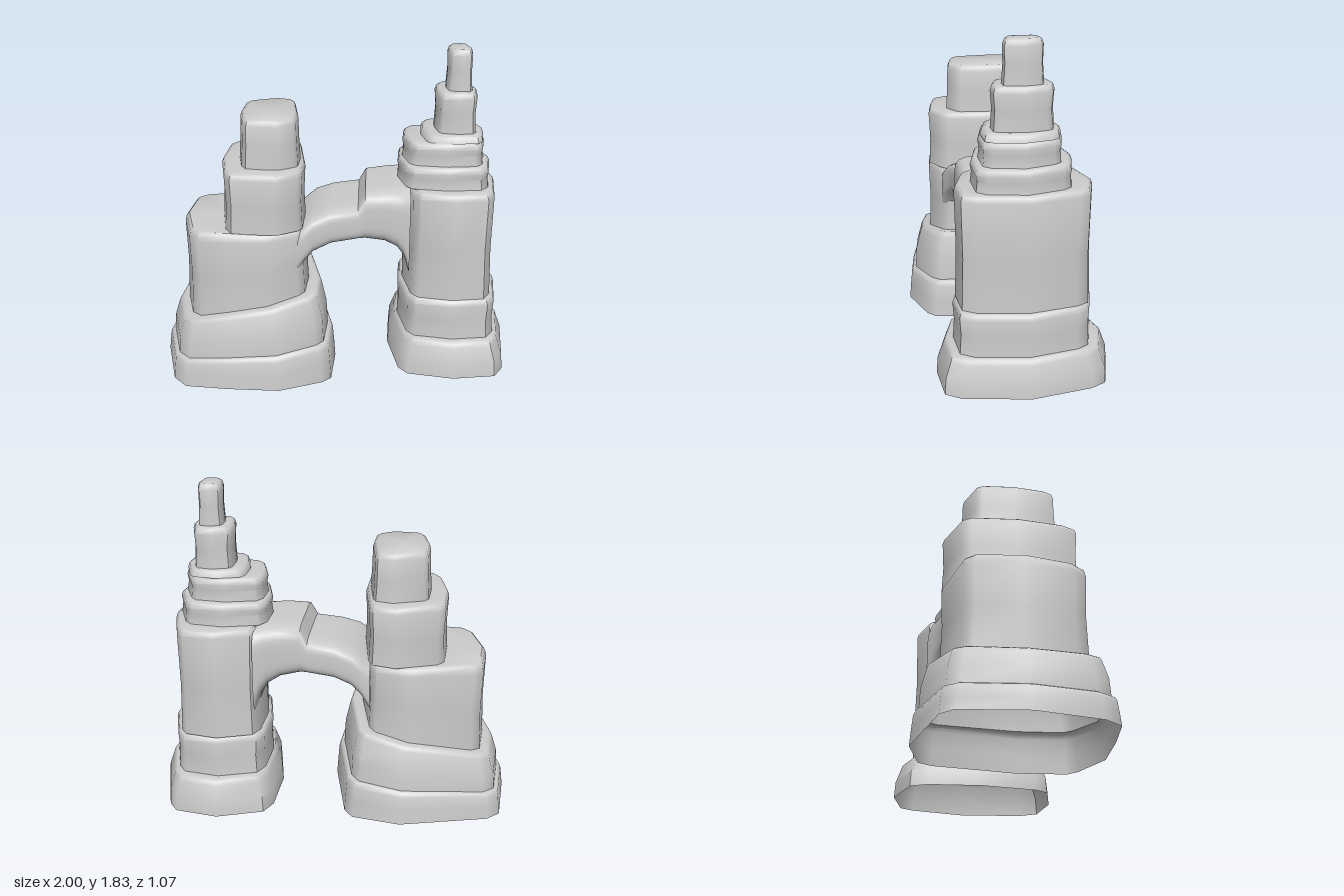
import * as THREE from 'three';
import { toCreasedNormals } from 'three/addons/utils/BufferGeometryUtils.js';

const rock = new THREE.MeshStandardMaterial({ color: 0xcccccc, side: THREE.DoubleSide });
const { lerp } = THREE.MathUtils;

// Skin a list of equal-length point rings; optionally close the last one.
function loft(name, rings, cap) {
  const n = rings[0].length;
  const points = rings.flat(), index = [];
  for (let r = 0; r < rings.length - 1; r++) {
    for (let i = 0; i < n; i++) {
      const a = r * n + i, b = r * n + (i + 1) % n;
      index.push(a, a + n, b, b, a + n, b + n);
    }
  }
  if (cap) {
    const base = points.length - n, centre = points.length;
    points.push(rings.at(-1).reduce((s, p) => s.add(p), new THREE.Vector3()).divideScalar(n));
    for (let i = 0; i < n; i++) index.push(base + i, centre, base + (i + 1) % n);
  }
  const geo = new THREE.BufferGeometry().setFromPoints(points);
  geo.setIndex(index);
  const mesh = new THREE.Mesh(toCreasedNormals(geo, 0.8), rock);
  mesh.name = name;
  return mesh;
}

// Hollow shell of terraces: one outline fitted to each tier's bounds.
// Tier: top height at x = 0, x range, z range, inward taper, slope of the top along x.
function terraces(name, outline, ground, tiers) {
  const rings = [], waist = 0.007, rim = 0.024;
  let y0 = ground, slope0 = 0;
  for (const [top, x0, x1, z0, z1, taper = 0, slope = 0] of tiers) {
    const ring = (k, inset) => rings.push(outline.map(([u, v]) => {
      const x = (x0 + x1) / 2 + u * ((x1 - x0) / 2 - inset);
      const z = (z0 + z1) / 2 + v * ((z1 - z0) / 2 - inset);
      return new THREE.Vector3(x, lerp(y0 + slope0 * x, top + slope * x, k), z);
    }));
    const bevel = rim / (top - y0);
    ring(0, 0);
    ring(0.45, waist);
    ring(1 - bevel * 1.5, taper);
    ring(1 - bevel * 0.45, taper + rim * 0.35);
    ring(1, taper + rim);
    y0 = top;
    slope0 = slope;
  }
  return loft(name, rings, true);
}

// Rock span swept along x from rounded rectangular sections.
function archBridge() {
  // x, underside y, top y, back z, front z
  const sections = [
    [-0.22, 0.58, 0.86, -0.29, 0.32], [-0.17, 0.67, 0.90, -0.30, 0.32],
    [-0.12, 0.725, 0.94, -0.30, 0.30], [-0.02, 0.768, 0.975, -0.295, 0.275],
    [0.13, 0.79, 0.995, -0.295, 0.26], [0.17, 0.79, 1.07, -0.30, 0.26],
    [0.28, 0.77, 1.08, -0.325, 0.25], [0.35, 0.73, 1.08, -0.35, 0.245],
    [0.39, 0.67, 1.08, -0.37, 0.24], [0.42, 0.56, 1.08, -0.38, 0.23],
  ];
  const power = v => Math.sign(v) * Math.abs(v) ** 0.4;
  const rings = sections.map(([x, y0, y1, z0, z1]) =>
    Array.from({ length: 40 }, (_, i) => {
      const t = (i + 0.5) / 40 * Math.PI * 2;
      return new THREE.Vector3(x,
        lerp(y0, y1, 0.5 + power(Math.sin(t)) / 2),
        lerp(z0, z1, 0.5 + power(Math.cos(t)) / 2));
    }));
  return loft('archBridge', rings, false);
}

export function createModel() {
  const group = new THREE.Group();
  group.name = 'rockArch';

  // Broad stack on the model's right
  const broadOutline = [
    [-0.94, -0.64], [-0.8, -0.77], [0.18, -1], [0.72, -0.89], [0.82, -0.75], [1, 0.16],
    [0.97, 0.7], [0.87, 0.8], [0.4, 1], [-0.18, 0.98], [-0.66, 0.93], [-0.82, 0.75], [-1, 0.06],
  ];
  group.add(terraces('broadRockStack', broadOutline, 0, [
    [0.226, -1, 0, -0.49, 0.53, 0.015, 0.085],
    [0.53, -0.96, -0.045, -0.45, 0.49, 0.035, 0.2],
    [0.88, -0.865, -0.155, -0.35, 0.395],
    [1.22, -0.64, -0.168, -0.345, 0.39],
    [1.49, -0.54, -0.195, -0.245, 0.285, 0.01],
  ]));

  // Slender spire on the model's left
  const slenderOutline = [
    [-0.97, -0.61], [-0.84, -0.82], [-0.1, -1], [0.6, -0.9], [0.75, -0.74], [1, -0.05],
    [0.91, 0.72], [0.76, 0.92], [0.07, 1], [-0.68, 0.89], [-0.83, 0.74], [-1, 0.05],
  ];
  group.add(terraces('slenderRockSpire', slenderOutline, 0.015, [
    [0.22, 0.31, 1, -0.54, 0.39, 0.035],
    [0.455, 0.365, 0.935, -0.44, 0.3],
    [1.08, 0.39, 0.905, -0.435, 0.285],
    [1.205, 0.35, 0.872, -0.33, 0.2],
    [1.333, 0.375, 0.835, -0.275, 0.16],
    [1.375, 0.475, 0.828, -0.262, 0.15],
    [1.602, 0.55, 0.785, -0.225, 0.1],
    [1.83, 0.608, 0.755, -0.17, 0.045, 0.004],
  ]));

  group.add(archBridge());
  return group;
}
